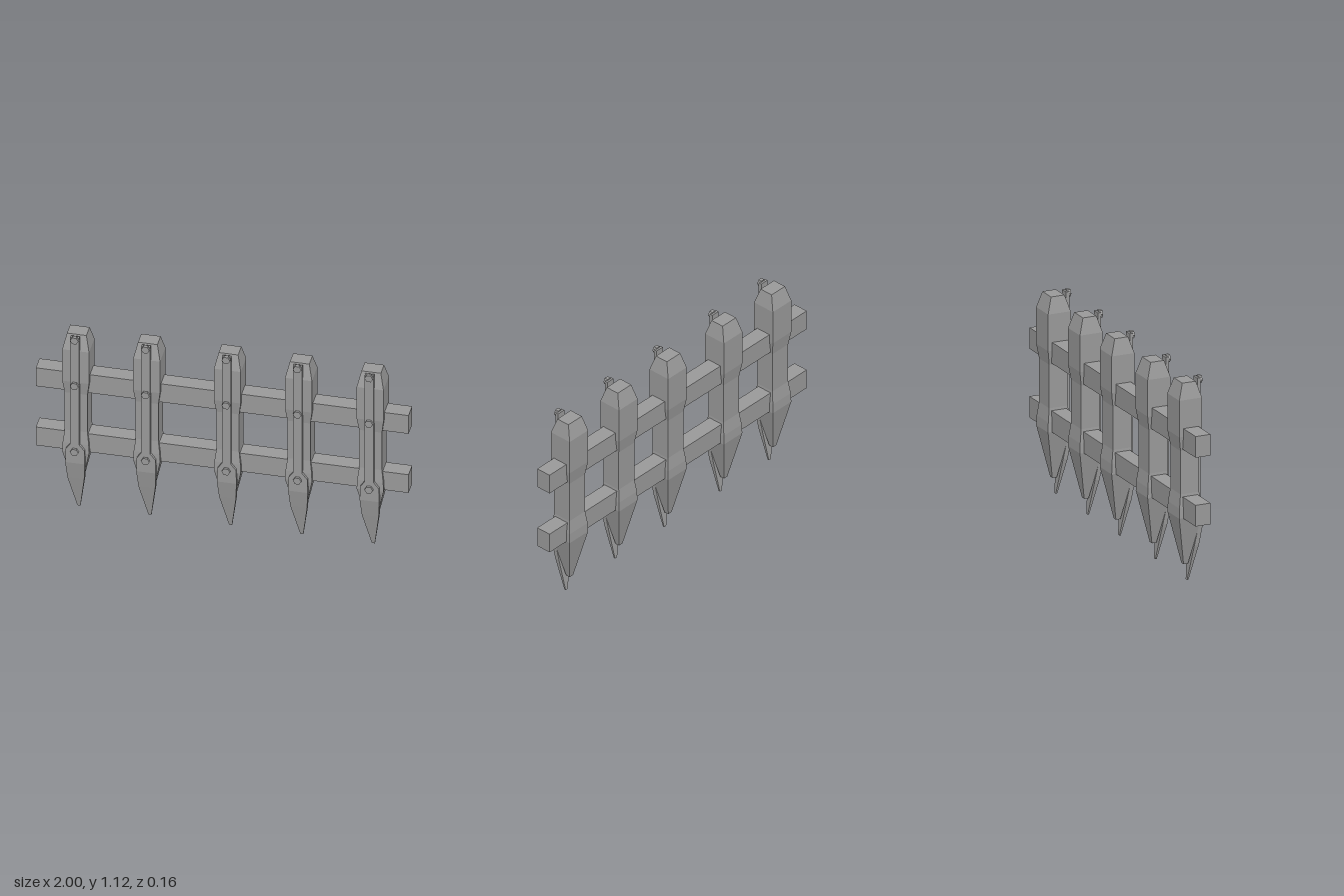
import * as THREE from 'three';

const material = new THREE.MeshStandardMaterial({ color: 0x999999, flatShading: true });

function addMesh(parent, name, geometry, x = 0, y = 0, z = 0) {
  const mesh = new THREE.Mesh(geometry, material);
  mesh.name = name;
  mesh.position.set(x, y, z);
  parent.add(mesh);
  return mesh;
}

// Rectangular sections [y, xMin, xMax, zMin, zMax], bottom to top, joined and capped.
function loft(sections) {
  const rings = sections.map(([y, x0, x1, z0, z1]) => [
    [x0, y, z1], [x1, y, z1], [x1, y, z0], [x0, y, z0],
  ]);
  const positions = [];
  const quad = (a, b, c, d) => positions.push(...a, ...b, ...c, ...a, ...c, ...d);
  for (let i = 0; i < rings.length - 1; i++) {
    const low = rings[i], high = rings[i + 1];
    for (let j = 0; j < 4; j++) {
      const k = (j + 1) % 4;
      quad(low[j], low[k], high[k], high[j]);
    }
  }
  const first = rings[0], last = rings[rings.length - 1];
  quad(first[3], first[2], first[1], first[0]);
  quad(last[0], last[1], last[2], last[3]);
  const geometry = new THREE.BufferGeometry();
  geometry.setAttribute('position', new THREE.Float32BufferAttribute(positions, 3));
  geometry.computeVertexNormals();
  return geometry;
}

export function createModel() {
  const fence = new THREE.Group();
  fence.name = 'fence';

  // Horizontal rails
  for (const [name, y] of [['lowerRail', 0.427], ['upperRail', 0.807]]) {
    addMesh(fence, name, new THREE.BoxGeometry(2, 0.117, 0.087), 0, y, -0.011);
  }

  // Post: pointed foot, slim waist between the rails, chamfered top
  const postZ = -0.0125;
  const postGeometry = loft([
    [0.095, 0.013, 0.013],
    [0.37, 0.072, 0.066],
    [0.425, 0.07, 0.064],
    [0.5, 0.061, 0.054],
    [0.74, 0.061, 0.054],
    [0.82, 0.072, 0.066],
    [1.022, 0.072, 0.066],
    [1.11, 0.052, 0.039],
  ].map(([y, hx, hz]) => [y, -hx, hx, postZ - hz, postZ + hz]));

  // Front strap: slim bar that widens into a spike bent back under the post
  const strapGeometry = loft([
    [0, 0, 0.016, 0.001, 0.009],
    [0.2, -0.045, 0.045, 0.022, 0.048],
    [0.31, -0.053, 0.052, 0.043, 0.067],
    [0.395, -0.05, 0.05, 0.048, 0.067],
    [0.43, -0.026, 0.022, 0.049, 0.067],
    [1.115, -0.026, 0.022, 0.049, 0.067],
  ]);

  // Six-sided bolt head facing the front, flat side up
  const boltGeometry = new THREE.CylinderGeometry(0.0225, 0.0225, 0.02, 6)
    .rotateX(Math.PI / 2).rotateZ(Math.PI / 2);

  [-0.782, -0.401, 0.032, 0.414, 0.798].forEach((x, i) => {
    const picket = new THREE.Group();
    picket.name = `picket${i + 1}`;
    picket.position.x = x;
    addMesh(picket, 'post', postGeometry);
    addMesh(picket, 'strap', strapGeometry);
    for (const y of [0.386, 0.81, 1.102]) addMesh(picket, 'bolt', boltGeometry, -0.002, y, 0.07);
    fence.add(picket);
  });

  return fence;
}
